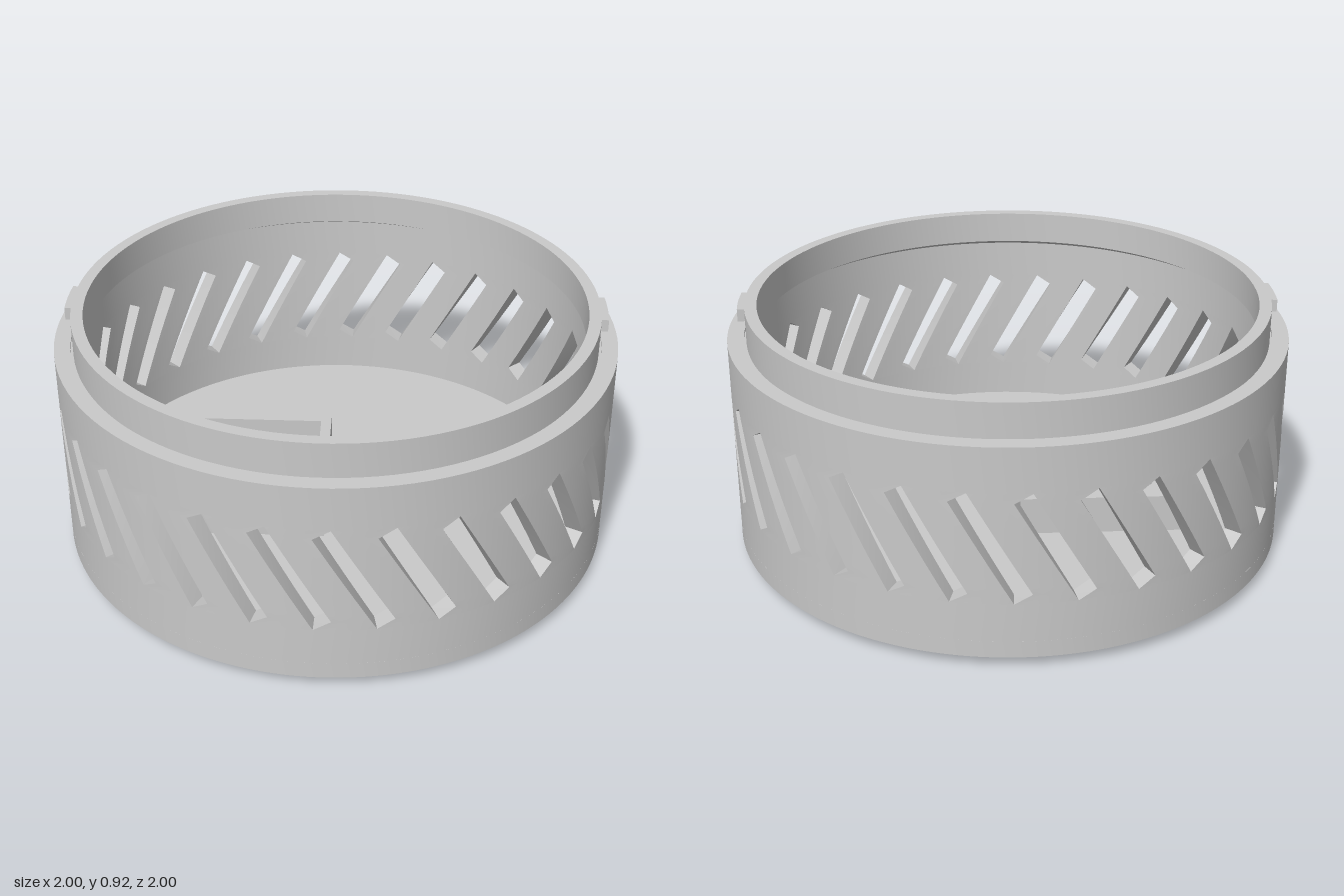
import * as THREE from 'three';
import { toCreasedNormals } from 'three/addons/utils/BufferGeometryUtils.js';

const STEP = Math.PI / 15;            // 30 slanted vents around the wall
const R_IN = 0.935, R_OUT = 1;
const FLOOR = 0.1;                    // top of the base plate
const MID = 0.44, HALF = 0.199;       // vent centre height and half height
const TIP = 0.075;                    // sideways offset of a vent's end point
const PORT = 1.5 * Math.PI, PORT_HALF = 0.165, PORT_TOP = 0.3;

export function createModel() {
  const group = new THREE.Group();
  const grey = new THREE.MeshStandardMaterial({ color: 0xc9c9c9 });
  grey.name = 'grey plastic';

  const add = (name, geometry, x = 0, y = 0, z = 0) => {
    const mesh = new THREE.Mesh(geometry, grey);
    mesh.name = name;
    mesh.position.set(x, y, z);
    group.add(mesh);
  };

  // Curved block: spans angles lo(y)..hi(y) over the given heights, between two radii
  const block = (out, rows, lo, hi, rOuter = R_OUT, rInner = R_IN, cols = 4) => {
    const point = (i, j, outer) => {
      const y = rows[j], u = lo(y) + (hi(y) - lo(y)) * i / cols;
      const r = outer ? rOuter : rInner;
      return [r * Math.sin(u), y, r * Math.cos(u)];
    };
    const quad = (a, b, c, d) => out.push(...a, ...b, ...c, ...a, ...c, ...d);
    const top = rows.length - 1;
    for (let i = 0; i < cols; i++) {
      for (let j = 0; j < top; j++) {
        quad(point(i, j, 1), point(i + 1, j, 1), point(i + 1, j + 1, 1), point(i, j + 1, 1));
        quad(point(i + 1, j, 0), point(i, j, 0), point(i, j + 1, 0), point(i + 1, j + 1, 0));
      }
      quad(point(i, top, 1), point(i + 1, top, 1), point(i + 1, top, 0), point(i, top, 0));
      quad(point(i, 0, 0), point(i + 1, 0, 0), point(i + 1, 0, 1), point(i, 0, 1));
    }
    for (let j = 0; j < top; j++) {
      quad(point(0, j, 0), point(0, j, 1), point(0, j + 1, 1), point(0, j + 1, 0));
      quad(point(cols, j, 1), point(cols, j, 0), point(cols, j + 1, 0), point(cols, j + 1, 1));
    }
  };
  const solid = (positions) => {
    const geometry = new THREE.BufferGeometry();
    geometry.setAttribute('position', new THREE.Float32BufferAttribute(positions, 3));
    return toCreasedNormals(geometry, 0.5);
  };

  // Same block, but with the rectangular port opening left out
  const blockWithPort = (out, rows, lo, hi) => {
    for (const [min, max] of [[-1, PORT - PORT_HALF], [PORT + PORT_HALF, 9]]) {
      const clipLo = (y) => Math.min(max, Math.max(min, lo(y)));
      const clipHi = (y) => Math.min(max, Math.max(min, hi(y)));
      if (rows.some((y) => clipHi(y) - clipLo(y) > 1e-4)) block(out, rows, clipLo, clipHi);
    }
  };

  // Left and right edge of a tilted rectangular vent at height t from its centre
  const ventLeft = (t) => t < 0.164
    ? TIP - 0.21 * (t + HALF) / 0.363
    : -0.135 + 0.06 * (t - 0.164) / 0.035;
  const ventRight = (t) => -ventLeft(-t);

  // Lower wall and the slanted bars between vents
  const lower = [], bars = [];
  for (let k = 0; k < 30; k++) {
    const c = (k + 0.5) * STEP;
    const lo = (y) => c + ventRight(y - MID);
    const hi = (y) => c + STEP + ventLeft(y - MID);
    blockWithPort(lower, [FLOOR, MID - HALF], () => c + TIP, () => c + STEP + TIP);
    blockWithPort(bars, [MID - HALF, 0.276, PORT_TOP], lo, hi);
    block(bars, [PORT_TOP, 0.37, MID, 0.52, 0.604, MID + HALF], lo, hi);
  }
  add('lowerWall', solid(lower));
  add('ventBars', solid(bars));

  // Upper wall with shoulder, fine groove and a raised lip set further in
  const profile = [
    [R_IN, MID + HALF], [R_OUT, MID + HALF], [R_OUT, 0.8], [0.942, 0.8], [0.942, 0.79],
    [0.933, 0.79], [0.933, 0.92], [0.89, 0.92], [0.89, 0.803], [R_IN, 0.78], [R_IN, MID + HALF],
  ].map(([r, y]) => new THREE.Vector2(r, y));
  add('upperWallAndLip', toCreasedNormals(new THREE.LatheGeometry(profile, 120).rotateY(-TIP), 0.4));

  // Small locking tabs on both sides of the lip
  for (const [name, angle] of [['leftTab', Math.PI / 2], ['rightTab', PORT]]) {
    const tab = [];
    block(tab, [0.86, 0.905], () => angle - 0.088, () => angle + 0.088, 0.959, 0.92);
    add(name, solid(tab));
  }

  // Base plate with a hexagonal hole through the middle
  const plate = new THREE.Shape().absarc(0, 0, R_OUT, TIP, TIP + Math.PI * 2);
  const hexagon = [];
  for (let i = 0; i < 6; i++) {
    hexagon.push(new THREE.Vector2(0.13 * Math.cos(i * Math.PI / 3), 0.13 * Math.sin(i * Math.PI / 3)));
  }
  plate.holes.push(new THREE.Path(hexagon));
  const plateGeometry = new THREE.ExtrudeGeometry(plate, {
    depth: FLOOR - 0.04, bevelEnabled: false, curveSegments: 120,
  });
  add('basePlate', toCreasedNormals(plateGeometry.rotateX(-Math.PI / 2), 0.5), 0, 0.04);

  // Open tray on the floor, with a low gap in each end wall
  const box = (name, w, h, d, x, z) => add(name, new THREE.BoxGeometry(w, h, d), x, FLOOR + h / 2, z);
  box('trayFloor', 0.58, 0.04, 0.52, -0.36, 0);
  for (const side of [-1, 1]) {
    box('traySideWall', 0.66, 0.14, 0.04, -0.36, side * 0.28);
    const x = -0.36 + side * 0.31;
    box('trayEndSill', 0.04, 0.1, 0.12, x, 0);
    for (const half of [-1, 1]) box('trayEndWall', 0.04, 0.14, 0.2, x, half * 0.16);
    add('trayPin', new THREE.CylinderGeometry(0.028, 0.028, 0.05, 32), -0.36 + side * 0.16, 0.16, 0);
  }

  // Four round feet
  for (const x of [-0.535, 0.535]) {
    for (const z of [-0.535, 0.535]) {
      add('foot', new THREE.CylinderGeometry(0.12, 0.12, 0.04, 48), x, 0.02, z);
    }
  }
  return group;
}
